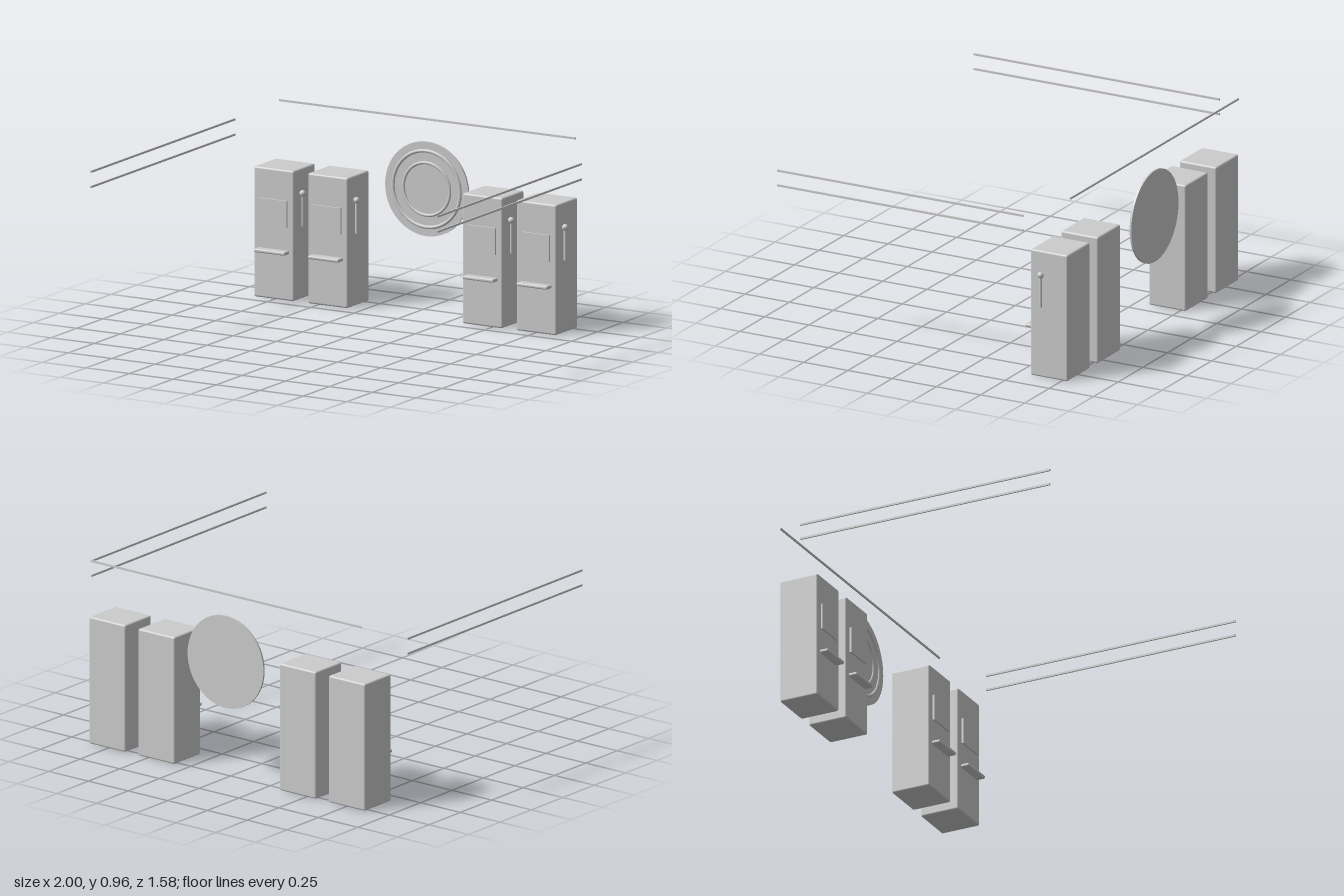
import * as THREE from 'three';
import { RoundedBoxGeometry } from 'three/addons/geometries/RoundedBoxGeometry.js';

const grey = new THREE.MeshStandardMaterial({ color: 0xcccccc });
grey.name = 'light grey';

function add(parent, name, geometry, x, y, z) {
  const mesh = new THREE.Mesh(geometry, grey);
  mesh.name = name;
  mesh.position.set(x, y, z);
  parent.add(mesh);
  return mesh;
}

// Upright cabinet with a screen, a coin tray and a pull lever on its left side
function createMachine(x) {
  const machine = new THREE.Group();
  machine.name = 'slotMachine';
  machine.position.x = x;
  add(machine, 'cabinet', new RoundedBoxGeometry(0.23, 0.66, 0.21, 3, 0.01), 0, 0.33, -0.675);
  add(machine, 'screen', new THREE.BoxGeometry(0.16, 0.135, 0.014), 0, 0.438, -0.567);
  add(machine, 'coinTray', new RoundedBoxGeometry(0.177, 0.018, 0.056, 3, 0.007), 0, 0.245, -0.553);
  add(machine, 'leverRod', new THREE.CylinderGeometry(0.007, 0.007, 0.165, 16), 0.128, 0.453, -0.635);
  add(machine, 'leverKnob', new THREE.SphereGeometry(0.016, 20, 14), 0.128, 0.538, -0.635);
  return machine;
}

export function createModel() {
  const model = new THREE.Group();
  model.name = 'slotMachineRoom';

  for (const x of [-0.755, -0.445, 0.445, 0.755]) model.add(createMachine(x));

  // Wall wheel: disc with two raised rings
  const wheel = new THREE.Group();
  wheel.name = 'wallWheel';
  wheel.position.set(0, 0.603, -0.785);
  add(wheel, 'disc', new THREE.CylinderGeometry(0.239, 0.239, 0.01, 64), 0, 0, 0).rotation.x = Math.PI / 2;
  add(wheel, 'outerRing', new THREE.TorusGeometry(0.193, 0.009, 12, 72), 0, 0, 0.005);
  add(wheel, 'innerRing', new THREE.TorusGeometry(0.133, 0.008, 12, 64), 0, 0, 0.005);
  model.add(wheel);

  // Light strips along the back and both sides
  add(model, 'backStrip', new THREE.BoxGeometry(1.705, 0.01, 0.006), 0, 0.955, -0.786);
  for (const x of [-0.996, 0.996]) {
    for (const y of [0.8, 0.877]) {
      add(model, 'sideStrip', new THREE.BoxGeometry(0.007, 0.01, 1.39), x, y, 0.095);
    }
  }
  return model;
}
